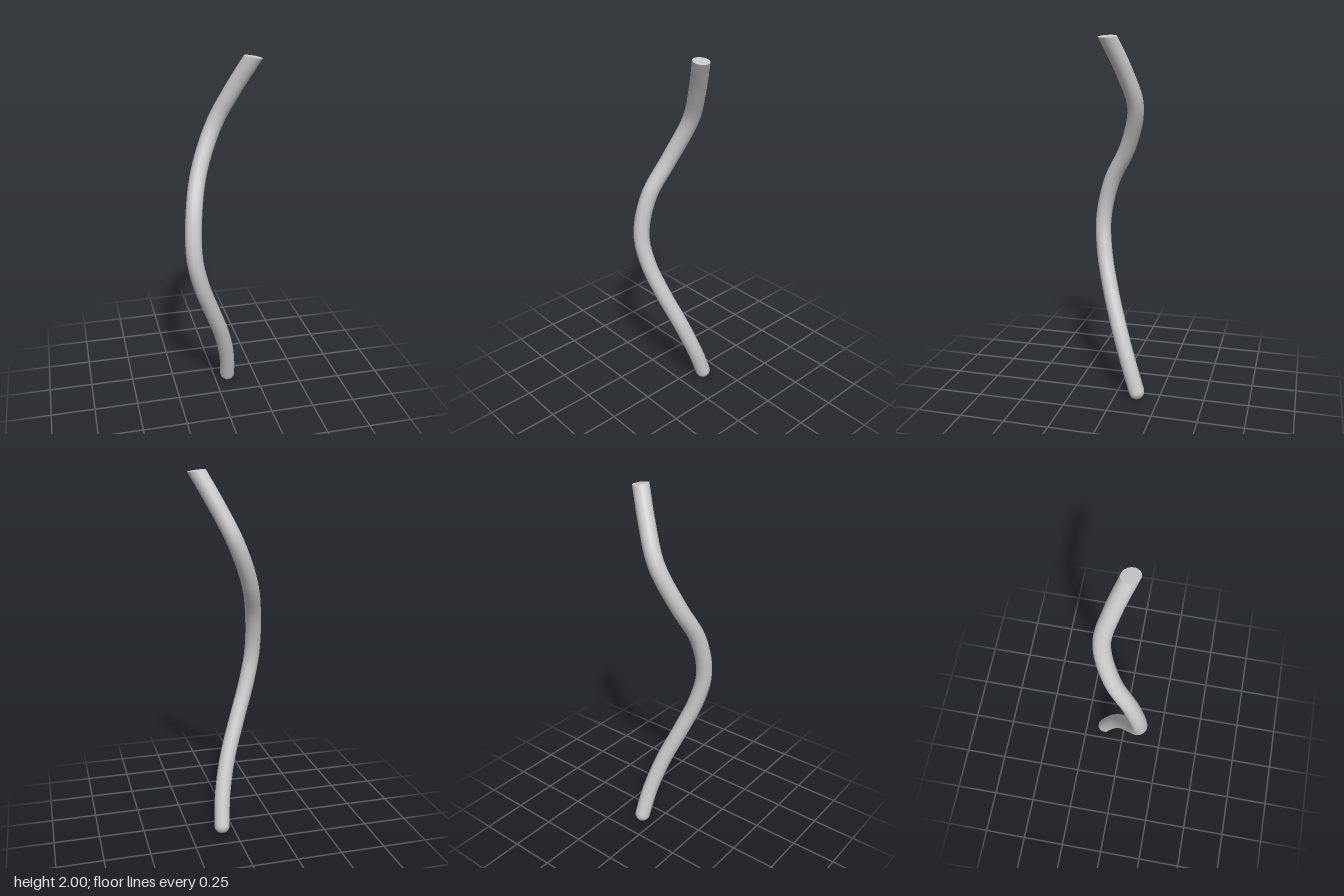
import * as THREE from 'three';

const RADIUS = 0.0445, SIDES = 14, STEPS = 48;

export function createModel() {
  const group = new THREE.Group();
  group.name = 'curvedRod';
  const material = new THREE.MeshStandardMaterial({ color: 0xcccccc });
  const add = (name, geometry) => {
    const mesh = new THREE.Mesh(geometry, material);
    mesh.name = name;
    group.add(mesh);
    return mesh;
  };

  // centre line, from the rounded foot to the cut top
  const path = new THREE.CatmullRomCurve3([
    [0.073, 0.0445, -0.128], [0.057, 0.2, -0.077], [0.01, 0.4, -0.008],
    [-0.062, 0.6, 0.06], [-0.133, 0.8, 0.113], [-0.17, 0.98, 0.127],
    [-0.16, 1.2, 0.077], [-0.11, 1.4, -0.027], [-0.015, 1.63, -0.093],
    [0.072, 1.81, -0.055], [0.165, 1.99, 0.01],
  ].map(p => new THREE.Vector3(...p)));

  // rod: slide the last ring along the tangent onto a nearly level cut
  const rod = new THREE.TubeGeometry(path, STEPS, RADIUS, SIDES, false);
  const pos = rod.attributes.position;
  const end = path.getPointAt(1), tangent = path.getTangentAt(1);
  const cut = new THREE.Vector3(0.15, 1, 0).normalize();
  const v = new THREE.Vector3();
  const rim = [end.x, end.y, end.z];
  for (let i = 0; i <= SIDES; i++) {
    const k = STEPS * (SIDES + 1) + i;
    v.fromBufferAttribute(pos, k);
    const slide = v.clone().sub(end).dot(cut) / tangent.dot(cut);
    v.addScaledVector(tangent, -slide);
    pos.setXYZ(k, v.x, v.y, v.z);
    rim.push(v.x, v.y, v.z);
  }
  add('rod', rod);

  // flat face closing the cut top
  const face = new THREE.BufferGeometry();
  const index = [];
  for (let i = 1; i <= SIDES; i++) index.push(0, i + 1, i);
  face.setAttribute('position', new THREE.Float32BufferAttribute(rim, 3));
  face.setIndex(index);
  face.computeVertexNormals();
  add('topFace', face);

  // rounded foot
  const foot = add('roundedFoot',
    new THREE.SphereGeometry(RADIUS, SIDES, 6, 0, Math.PI * 2, 0, Math.PI / 2));
  foot.position.copy(path.getPointAt(0));
  foot.quaternion.setFromUnitVectors(new THREE.Vector3(0, 1, 0), path.getTangentAt(0).negate());

  return group;
}
